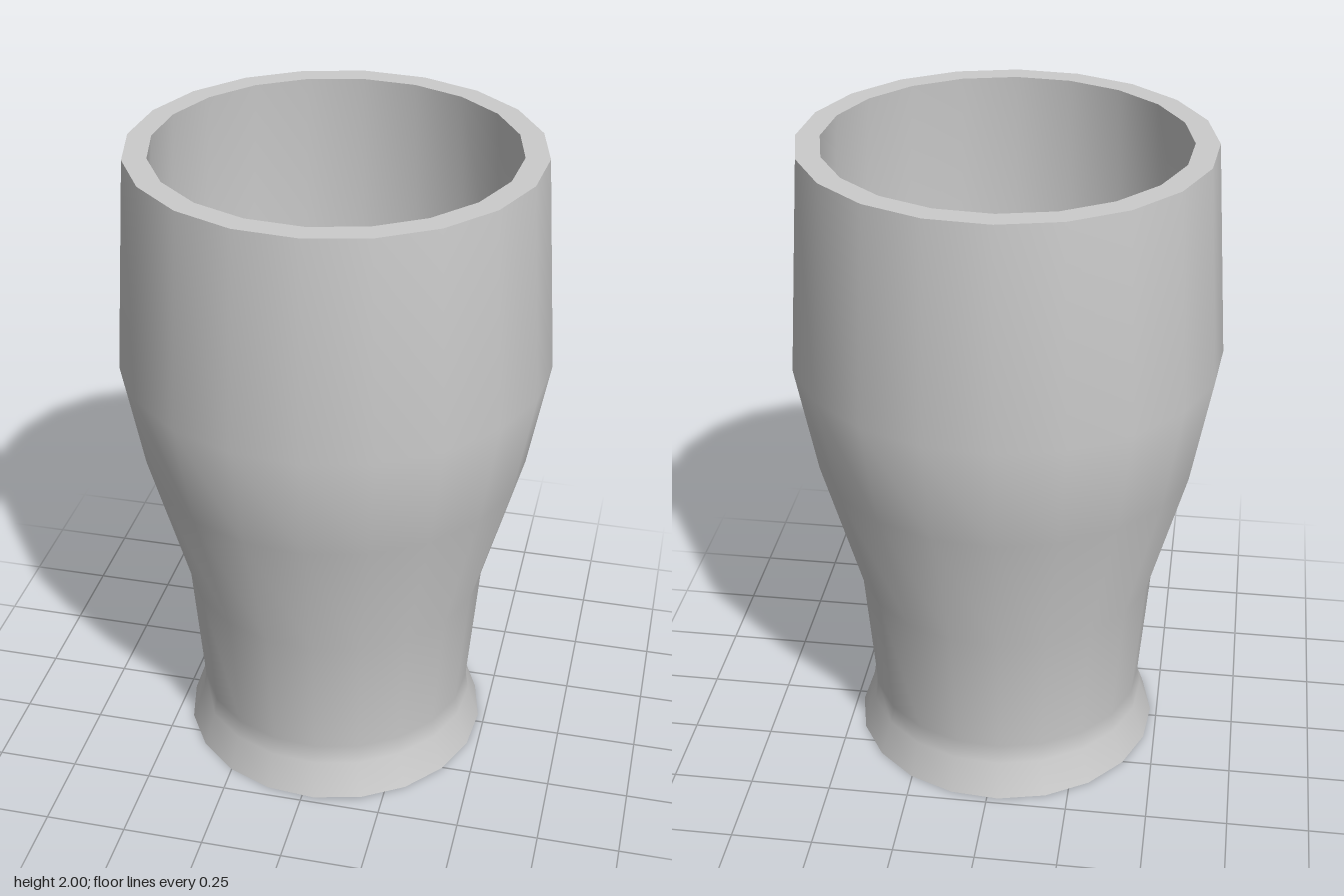
import * as THREE from 'three';

const SIDES = 20;
const TURN = THREE.MathUtils.degToRad(4.2);

// Revolve a [radius, height] profile; separate sections keep the edges between them sharp
function ring(name, profile, material) {
  const points = profile.map(([r, y]) => new THREE.Vector2(r, y));
  const mesh = new THREE.Mesh(new THREE.LatheGeometry(points, SIDES, TURN), material);
  mesh.name = name;
  return mesh;
}

export function createModel() {
  const group = new THREE.Group();
  group.name = 'drinkingGlass';
  const material = new THREE.MeshStandardMaterial({ color: 0xcccccc });

  // Outer profile: flared foot, narrow waist, bulge, slightly closing mouth
  const outer = [[0.48, 0], [0.442, 0.11], [0.432, 0.17], [0.465, 0.58], [0.583, 1.01], [0.645, 1.35], [0.6, 2]];
  // Inner profile from the mouth down to the floor
  const inner = [[0.53, 2], [0.578, 1.35], [0.52, 1.01], [0.41, 0.58], [0.38, 0.17]];

  group.add(
    ring('base', [[0, 0], outer[0]], material),
    ring('outerWall', outer, material),
    ring('rim', [outer.at(-1), inner[0]], material),
    ring('innerWall', inner, material),
    ring('innerFloor', [inner.at(-1), [0, 0.17]], material),
  );
  return group;
}
